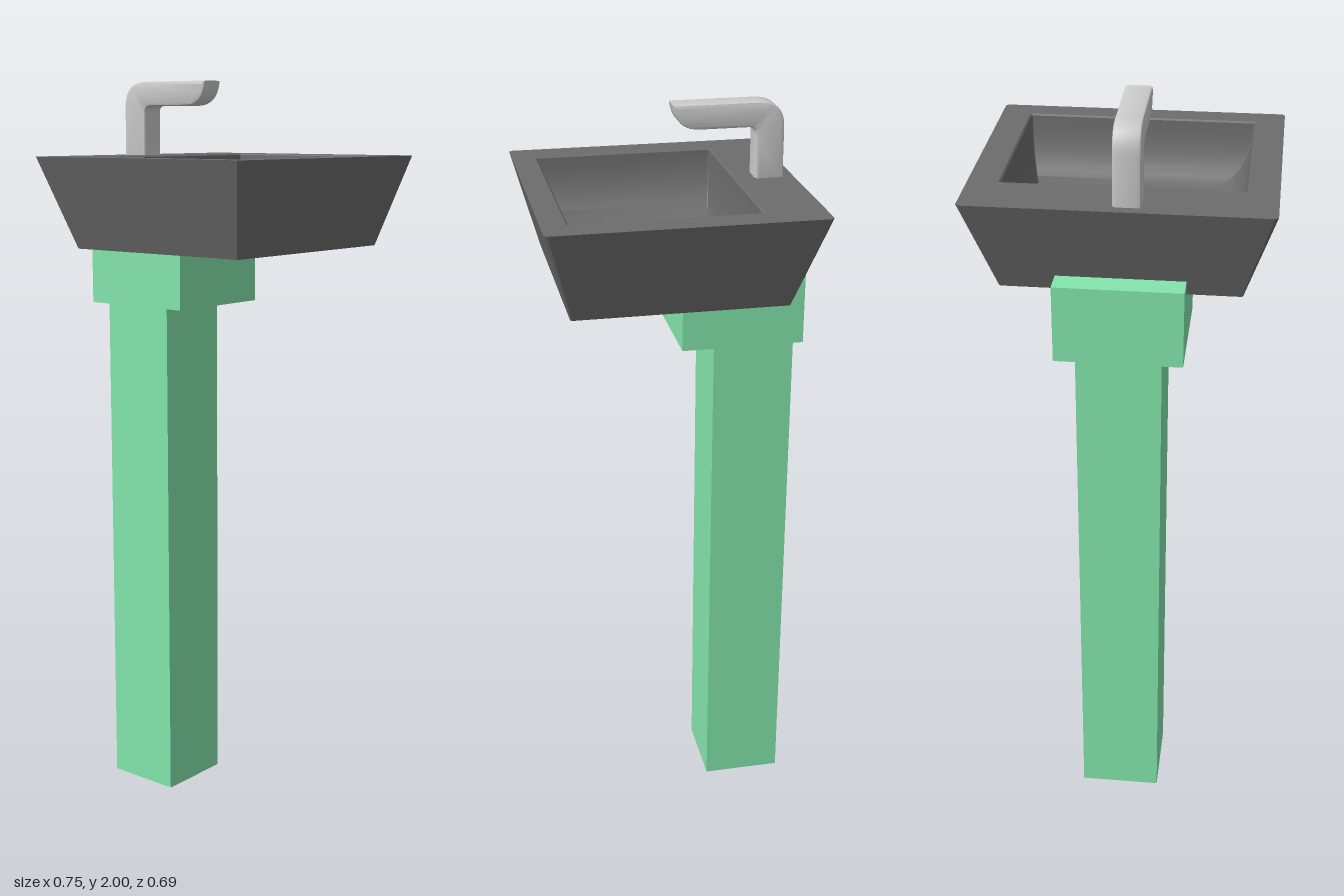
import * as THREE from 'three';
import { toCreasedNormals } from 'three/addons/utils/BufferGeometryUtils.js';

const material = (color) => new THREE.MeshStandardMaterial({ color });

function addMesh(group, name, geometry, mat, x = 0, y = 0, z = 0) {
  const mesh = new THREE.Mesh(geometry, mat);
  mesh.name = name;
  mesh.position.set(x, y, z);
  group.add(mesh);
  return mesh;
}

// Eight corners of a rectangle with corners cut by c, anticlockwise from above
function ring(x0, x1, z0, z1, y, c) {
  return [
    [x0 + c, y, z1], [x1 - c, y, z1], [x1, y, z1 - c], [x1, y, z0 + c],
    [x1 - c, y, z0], [x0 + c, y, z0], [x0, y, z0 + c], [x0, y, z1 - c],
  ];
}

// Joins successive rings with quads and closes both ends
function loft(rings) {
  const n = rings[0].length;
  const index = [];
  for (let i = 0; i < rings.length - 1; i++) {
    for (let j = 0; j < n; j++) {
      const k = (j + 1) % n;
      const a = i * n + j, b = i * n + k;
      index.push(a, b, b + n, a, b + n, a + n);
    }
  }
  const last = (rings.length - 1) * n;
  for (let j = 1; j < n - 1; j++) {
    index.push(0, j + 1, j, last, last + j, last + j + 1);
  }
  const geometry = new THREE.BufferGeometry();
  geometry.setAttribute('position', new THREE.Float32BufferAttribute(rings.flat(2), 3));
  geometry.setIndex(index);
  return toCreasedNormals(geometry, 0.5);
}

function basinGeometry() {
  const rimY = 1.805, floorY = 1.64, steps = 8;
  // Tapered outside and flat rim
  const rings = [
    ring(-0.3, 0.297, -0.268, 0.28, 1.565, 0.004),
    ring(-0.376, 0.376, -0.346, 0.346, rimY, 0.008),
    ring(-0.302, 0.3, -0.196, 0.283, rimY, 0.002),
  ];
  // Hollow walls: steep at the back and right, sweeping at the front and left
  for (let i = 0; i <= steps; i++) {
    const a = (i / steps) * Math.PI / 2;
    const inset = 1 - Math.cos(a);
    const y = rimY - 0.004 - (rimY - 0.004 - floorY) * Math.sin(a);
    rings.push(ring(
      -0.298 + 0.11 * inset, 0.296 - 0.03 * inset,
      -0.192 + 0.026 * inset, 0.279 - 0.09 * inset, y, 0.002));
  }
  return loft(rings);
}

function faucetGeometry() {
  // Side outline: first coordinate runs along z, second is height
  const s = new THREE.Shape();
  s.moveTo(-0.318, 1.79);
  s.lineTo(-0.318, 1.93);
  s.quadraticCurveTo(-0.318, 2, -0.25, 2);
  s.lineTo(-0.03, 2);
  s.quadraticCurveTo(-0.037, 1.936, -0.1, 1.936);
  s.lineTo(-0.225, 1.936);
  s.quadraticCurveTo(-0.244, 1.936, -0.244, 1.917);
  s.lineTo(-0.244, 1.79);
  s.closePath();
  const bevel = 0.008, width = 0.068;
  const geometry = new THREE.ExtrudeGeometry(s, {
    depth: width - 2 * bevel, bevelThickness: bevel, bevelSize: bevel,
    bevelOffset: -bevel, bevelSegments: 2, curveSegments: 10,
  });
  geometry.rotateY(-Math.PI / 2);
  geometry.translate(width / 2 - bevel, 0, 0);
  return toCreasedNormals(geometry, 0.5);
}

export function createModel() {
  const group = new THREE.Group();
  group.name = 'pedestalSink';
  const green = material(0x83e5ac);
  const dark = material(0x6c6c6c);
  const grey = material(0xcccccc);

  // Square pedestal and the wider block holding the basin
  addMesh(group, 'column', new THREE.BoxGeometry(0.214, 1.405, 0.214), green, -0.004, 0.7025, -0.228);
  addMesh(group, 'columnCap', new THREE.BoxGeometry(0.32, 0.2, 0.32), green, -0.004, 1.505, -0.186);

  // Basin with drain in the back corner
  addMesh(group, 'basin', basinGeometry(), dark);
  addMesh(group, 'drain', new THREE.CylinderGeometry(0.036, 0.036, 0.016, 32), green, 0.233, 1.637, -0.13);

  // Arched spout standing on the rear rim
  addMesh(group, 'faucet', faucetGeometry(), grey, -0.023, 0, 0);
  return group;
}
